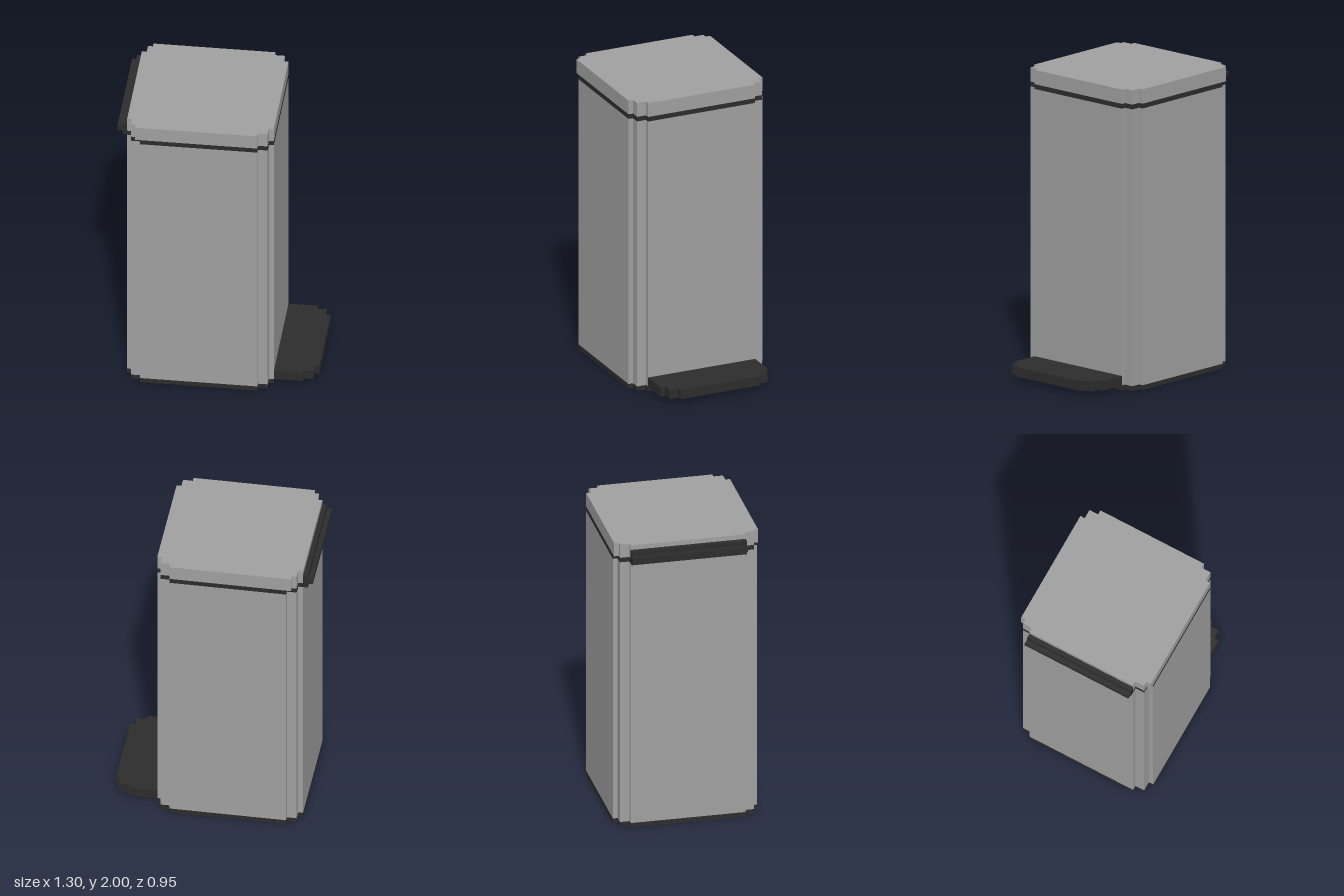
import * as THREE from 'three';

const U = 2 / 63; // one block unit

// Extrudes a plan outline (block units, symmetric in z) upward from y0 to y1.
// Each half-outline point is [x, z] with z >= 0, running from right to left.
function slab(name, half, y0, y1, material) {
  const mirrored = half.map(([x, z]) => [x, -z]).reverse();
  const points = [...half, ...mirrored].map(([x, z]) => new THREE.Vector2(x * U, z * U));
  const geometry = new THREE.ExtrudeGeometry(new THREE.Shape(points), {
    depth: (y1 - y0) * U,
    bevelEnabled: false,
  });
  geometry.rotateX(-Math.PI / 2);
  geometry.translate(0, y0 * U, 0);
  const mesh = new THREE.Mesh(geometry, material);
  mesh.name = name;
  return mesh;
}

// Square plan with stepped corners; leftStep sets the width of the left corner notch.
function steppedSquare(leftStep) {
  const c = -3.5;
  return [
    [c + 15, 12], [c + 14, 12], [c + 14, 14], [c + 12, 14], [c + 12, 15],
    [c - leftStep, 15], [c - leftStep, 14], [c - 14, 14], [c - 14, 12], [c - 15, 12],
  ];
}

export function createModel() {
  const metal = new THREE.MeshStandardMaterial({ color: 0x9f9f9f });
  metal.name = 'grey metal';
  const plastic = new THREE.MeshStandardMaterial({ color: 0x2c2c2c });
  plastic.name = 'dark plastic';

  const model = new THREE.Group();
  model.name = 'pedalBin';

  // Bin, bottom to top
  const plan = steppedSquare(12);
  model.add(
    slab('base', plan, 0, 1, plastic),
    slab('body', plan, 1, 59, metal),
    slab('rimSeal', plan, 59, 60, plastic),
    slab('lid', steppedSquare(13), 60, 63, metal),
  );

  // Foot pedal with stepped front corners
  const pedal = [[20.5, 9], [19.5, 9], [19.5, 11], [17.5, 11], [17.5, 12], [11.5, 12]];
  model.add(slab('pedal', pedal, 1, 3, plastic));

  // Hinge: a plate with a projecting ridge
  const hinge = new THREE.Group();
  hinge.name = 'hinge';
  hinge.add(
    slab('hingePlate', [[-18.5, 12], [-19.5, 12]], 59, 62, plastic),
    slab('hingeRidge', [[-19.5, 12], [-20.5, 12]], 60, 61, plastic),
  );
  model.add(hinge);

  return model;
}
